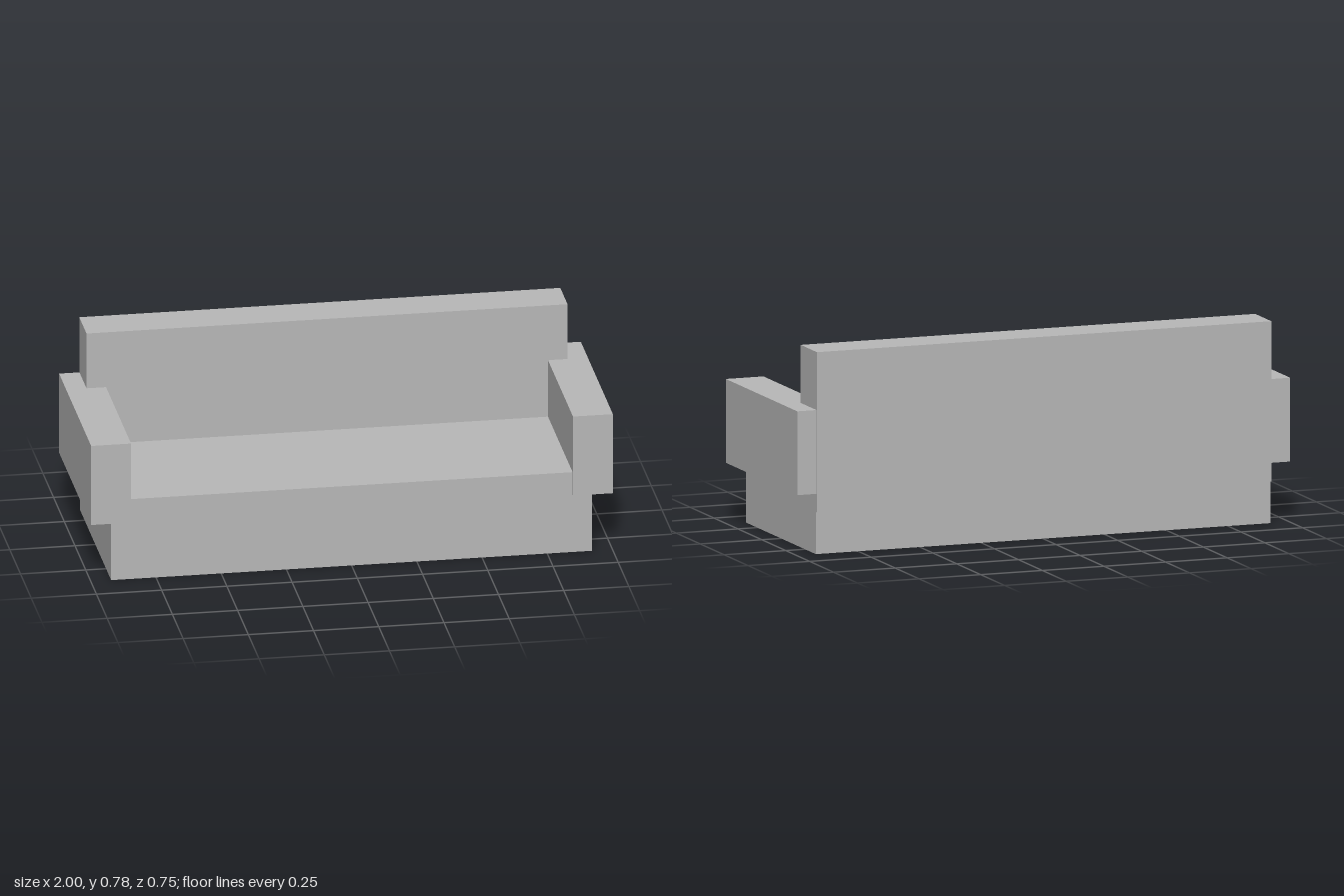
import * as THREE from 'three';

const fabric = new THREE.MeshStandardMaterial({ color: 0xb8b8b8 });
fabric.name = 'grey fabric';

// Box given by its lower and upper corners
function block(name, [x0, y0, z0], [x1, y1, z1]) {
  const geometry = new THREE.BoxGeometry(x1 - x0, y1 - y0, z1 - z0);
  const mesh = new THREE.Mesh(geometry, fabric);
  mesh.name = name;
  mesh.position.set((x0 + x1) / 2, (y0 + y1) / 2, (z0 + z1) / 2);
  return mesh;
}

export function createModel() {
  const sofa = new THREE.Group();
  sofa.name = 'sofa';

  // Seat block, reaching the floor
  sofa.add(block('seat', [-0.922, 0, -0.363], [0.922, 0.325, 0.368]));

  // Backrest, slightly proud of the seat and arms at the rear
  sofa.add(block('backrest', [-0.922, 0.162, -0.375], [0.922, 0.778, -0.206]));

  // Armrests, overhanging the sides
  const left = block('leftArmrest', [0.847, 0.233, -0.371], [1, 0.555, 0.377]);
  const right = left.clone();
  right.name = 'rightArmrest';
  right.position.x *= -1;
  sofa.add(left, right);

  return sofa;
}
